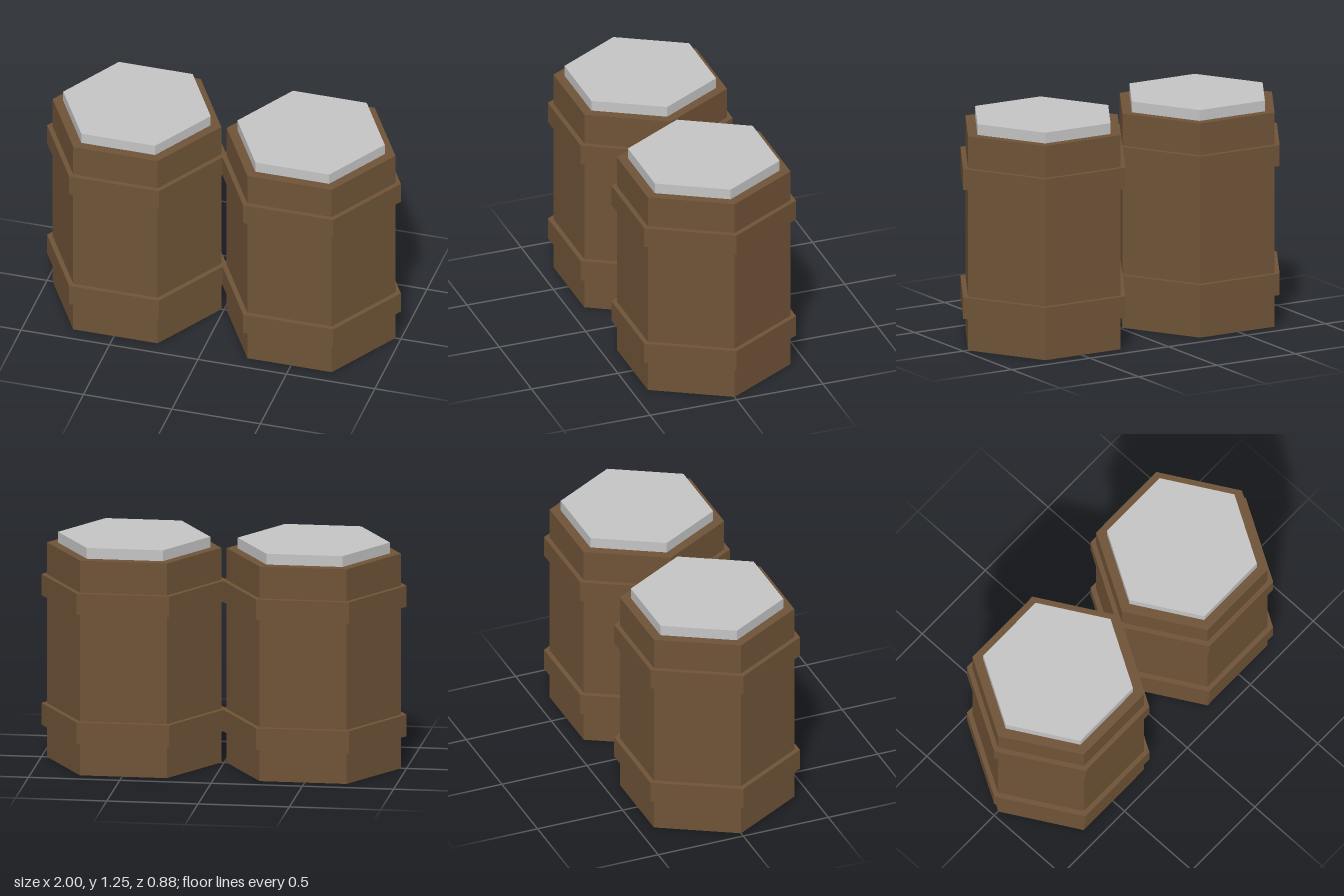
import * as THREE from 'three';

const wood = new THREE.MeshStandardMaterial({ color: 0x6f5337 });
wood.name = 'brownWood';
const metal = new THREE.MeshStandardMaterial({ color: 0xc4c4c4 });
metal.name = 'greyLid';

// Flat-sided hexagonal prism with corners on the x axis
function hexPrism(name, radius, y0, y1, material) {
  const geo = new THREE.CylinderGeometry(radius, radius, y1 - y0, 6, 1, false, Math.PI / 2)
    .toNonIndexed();
  geo.computeVertexNormals();
  geo.translate(0, (y0 + y1) / 2, 0);
  const mesh = new THREE.Mesh(geo, material);
  mesh.name = name;
  return mesh;
}

function createBarrel(name, x) {
  const barrel = new THREE.Group();
  barrel.name = name;
  barrel.add(
    hexPrism('body', 0.477, 0, 1.195, wood),
    hexPrism('lowerBand', 0.508, 0.18, 0.3, wood),
    hexPrism('upperBand', 0.508, 0.9, 1.017, wood),
    hexPrism('lid', 0.417, 1.19, 1.255, metal),
  );
  barrel.position.x = x;
  return barrel;
}

export function createModel() {
  const model = new THREE.Group();
  model.name = 'barrelPair';
  model.add(createBarrel('leftBarrel', 0.492), createBarrel('rightBarrel', -0.492));
  return model;
}
